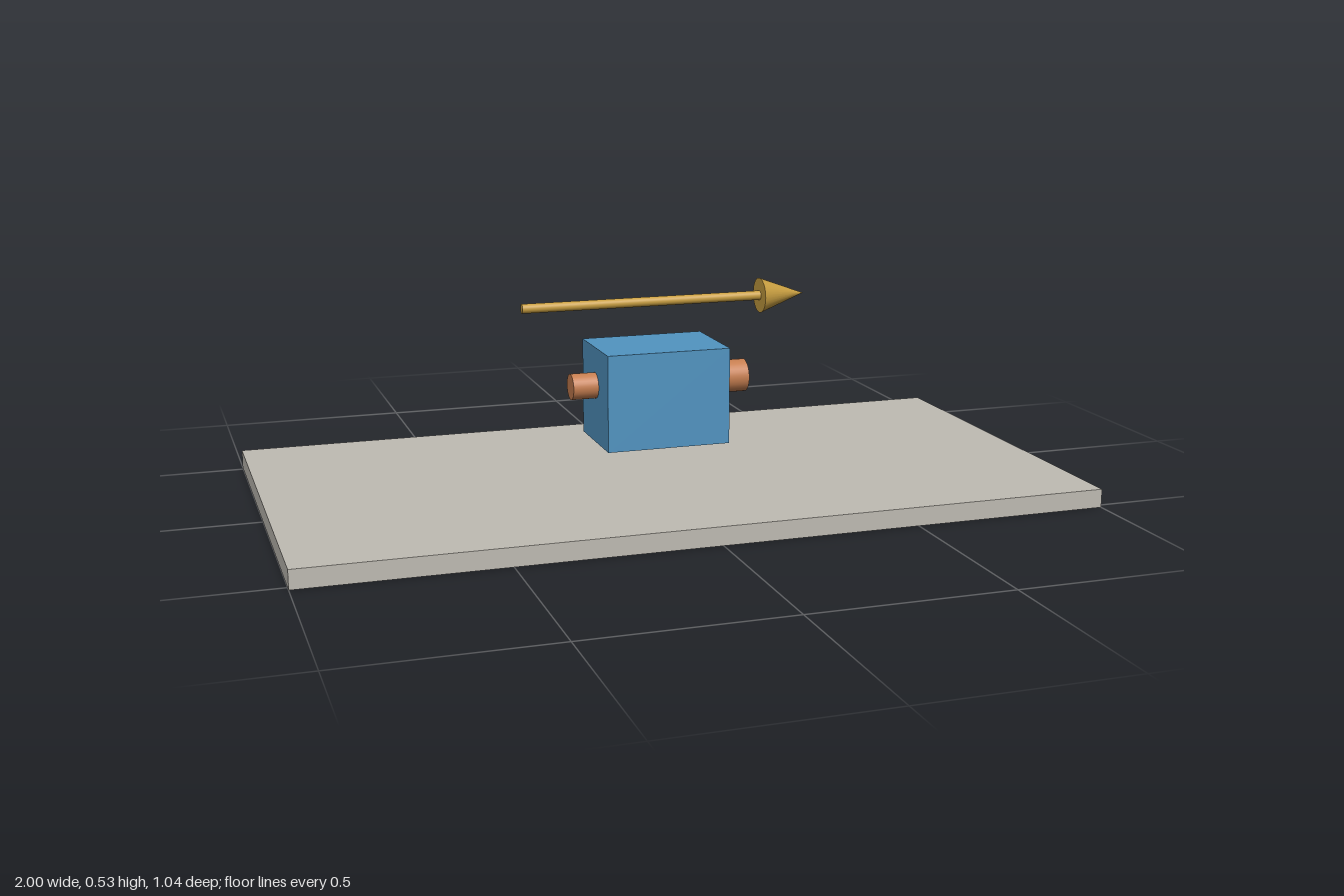
import * as THREE from 'three';

const material = (name, color) => {
  const m = new THREE.MeshStandardMaterial({ color });
  m.name = name;
  return m;
};

export function createModel() {
  const model = new THREE.Group();
  const stone = material('pale stone', 0xbfbbb3);
  const blue = material('blue', 0x5194c1);
  const copper = material('copper', 0xc67e50);
  const gold = material('gold', 0xc99f41);

  const add = (parent, name, geometry, mat, x, y, z = 0) => {
    const mesh = new THREE.Mesh(geometry, mat);
    mesh.name = name;
    mesh.position.set(x, y, z);
    parent.add(mesh);
    return mesh;
  };

  // Round part lying along x, from x0 to x1; rEnd is the radius at x1
  const rod = (parent, name, mat, x0, x1, y, r, rEnd = r) => {
    const geometry = new THREE.CylinderGeometry(rEnd, r, x1 - x0, 32).rotateZ(-Math.PI / 2);
    return add(parent, name, geometry, mat, (x0 + x1) / 2, y);
  };

  // Base slab and the block hovering above it
  add(model, 'baseSlab', new THREE.BoxGeometry(2, 0.047, 1.036), stone, 0, 0.0235);
  add(model, 'block', new THREE.BoxGeometry(0.32, 0.246, 0.23), blue, 0, 0.256);

  // Ports on both ends of the block
  rod(model, 'rightPort', copper, -0.225, -0.155, 0.281, 0.033);
  rod(model, 'leftPort', copper, 0.155, 0.241, 0.281, 0.042);

  // Direction arrow above the block
  const arrow = new THREE.Group();
  arrow.name = 'arrow';
  rod(arrow, 'arrowShaft', gold, -0.348, 0.285, 0.488, 0.012);
  rod(arrow, 'arrowHead', gold, 0.282, 0.402, 0.488, 0.045, 0);
  model.add(arrow);

  return model;
}
